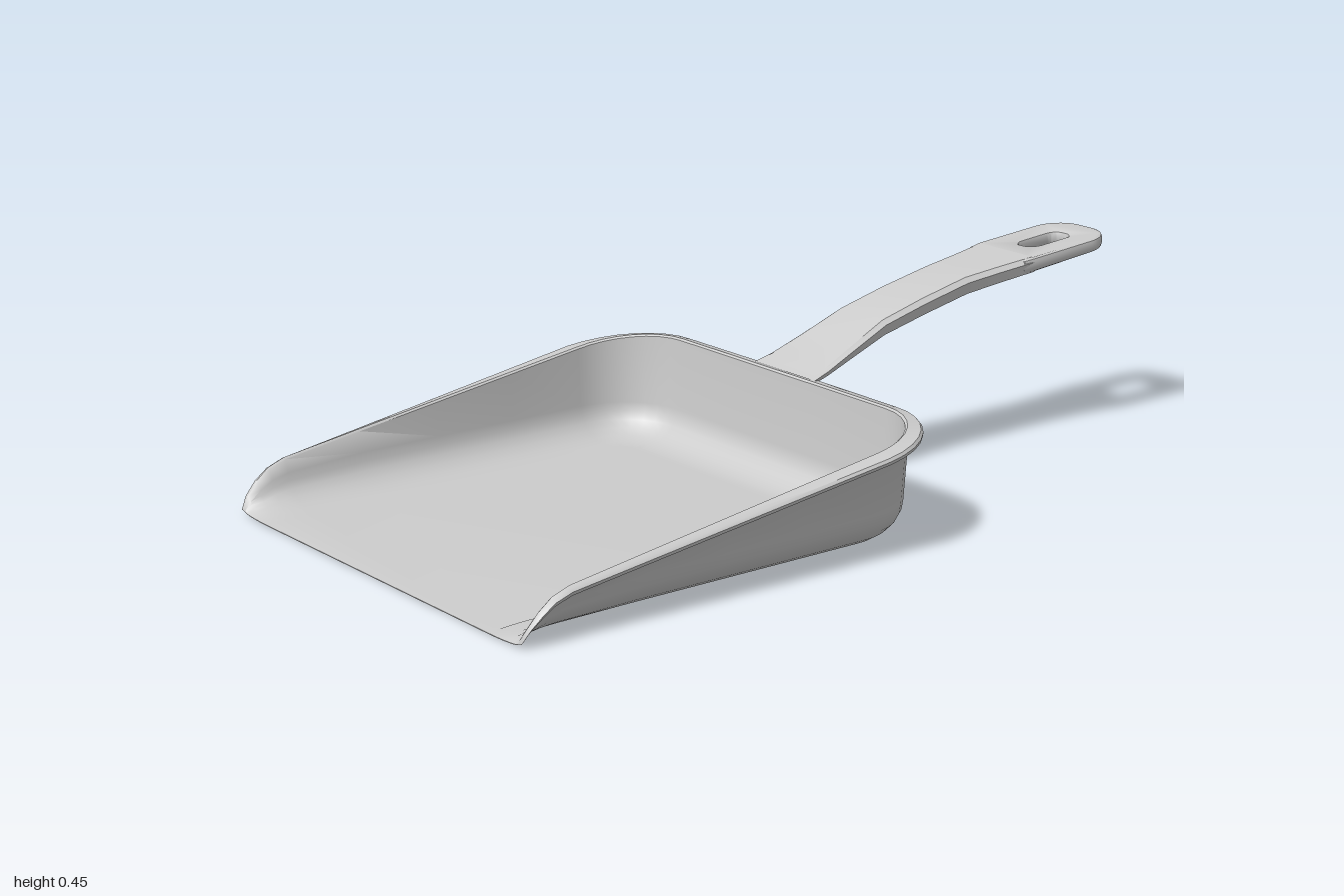
import * as THREE from 'three';
import { toCreasedNormals } from 'three/addons/utils/BufferGeometryUtils.js';

const material = new THREE.MeshStandardMaterial({ color: 0xcccccc, side: THREE.DoubleSide });

// Piecewise linear lookup in a list of [x, value]
function lookup(points, x) {
  if (x <= points[0][0]) return points[0][1];
  for (let i = 1; i < points.length; i++) {
    const [x0, v0] = points[i - 1], [x1, v1] = points[i];
    if (x <= x1) return v0 + (v1 - v0) * (x - x0) / (x1 - x0);
  }
  return points[points.length - 1][1];
}

function quad(index, a, b, c, d) {
  index.push(a, b, c, a, c, d);
}

function build(positions, index, crease) {
  const geo = new THREE.BufferGeometry();
  geo.setAttribute('position', new THREE.Float32BufferAttribute(positions, 3));
  geo.setIndex(index);
  return toCreasedNormals(geo, crease);
}

function addMesh(group, name, geo) {
  const mesh = new THREE.Mesh(geo, material);
  mesh.name = name;
  group.add(mesh);
}

// Rim height: rounded up at the open front, then a straight rise to the back
const RIM = [[-1, 0.012], [-0.985, 0.04], [-0.96, 0.068], [-0.93, 0.092], [-0.89, 0.107], [0.1, 0.255]];

// U-shaped plan of the wall: position, outward direction and lip width
function wallStations() {
  const half = [];
  for (const x of [-1, -0.985, -0.96, -0.93, -0.89, -0.7, -0.5, -0.3, -0.11]) {
    const lip = (0.015 + 0.03 * (x + 1) / 0.89) * Math.min(1, 0.2 + (x + 1) / 0.03);
    half.push({ x, z: 0.53, nx: 0, nz: 1, lip });
  }
  const r = 0.17;
  for (let i = 1; i <= 8; i++) {
    const a = i / 8 * Math.PI / 2, nx = Math.sin(a), nz = Math.cos(a);
    half.push({ x: -0.11 + r * nx, z: 0.36 + r * nz, nx, nz, lip: 0.045 - 0.013 * i / 8 });
  }
  half.push({ x: 0.06, z: 0.12, nx: 1, nz: 0, lip: 0.034 });
  const mirrored = half.map(s => ({ ...s, z: -s.z, nz: -s.nz })).reverse();
  return [...half, ...mirrored];
}

// Wall section from floor edge over the lip and back underneath: [outward, height]
function wallProfile(h, lip) {
  const k = Math.min(1, h / 0.1), t = 0.007 * k + 0.001, f = Math.min(0.085, h * 0.7);
  const inner = [], outer = [];
  for (let i = 0; i <= 6; i++) {
    const a = i / 6 * Math.PI / 2, s = Math.sin(a), c = 1 - Math.cos(a);
    inner.push([-0.11 + 0.1 * s, t + (f - t) * c]);
    outer.push([-0.11 + (0.1 + t) * s, f * c]);
  }
  inner.push([0, h - 0.004 * k], [0.005 * k, h], [lip - 0.005 * k, h - 0.004 * k], [lip, h - 0.01 * k]);
  outer.push([t, h - 0.018 * k], [0.006 * k + t, h - 0.011 * k],
    [lip - 0.006 * k, h - 0.014 * k], [lip - 0.001, h - 0.017 * k]);
  return [...inner, ...outer.reverse()];
}

function panGeometry() {
  const stations = wallStations(), positions = [], index = [];
  let n = 0;
  for (const s of stations) {
    const profile = wallProfile(lookup(RIM, s.x + s.nx * s.lip / 2), s.lip);
    n = profile.length;
    for (const [d, y] of profile) positions.push(s.x + s.nx * d, y, s.z + s.nz * d);
  }
  const last = stations.length - 1, id = (i, j) => i * n + j;
  for (let i = 0; i < last; i++) {
    for (let j = 0; j < n - 1; j++) quad(index, id(i, j), id(i, j + 1), id(i + 1, j + 1), id(i + 1, j));
  }
  // Floor, upper and lower face
  const ring = stations.map(s => new THREE.Vector2(s.x - s.nx * 0.11, -(s.z - s.nz * 0.11)));
  for (const [a, b, c] of THREE.ShapeUtils.triangulateShape(ring, [])) {
    index.push(id(a, 0), id(b, 0), id(c, 0));
    index.push(id(a, n - 1), id(c, n - 1), id(b, n - 1));
  }
  // Front edge and the ends of the side walls
  quad(index, id(last, 0), id(last, n - 1), id(0, n - 1), id(0, 0));
  for (let j = 0; j < n / 2 - 1; j++) {
    quad(index, id(0, j), id(0, n - 1 - j), id(0, n - 2 - j), id(0, j + 1));
    quad(index, id(last, j), id(last, j + 1), id(last, n - 2 - j), id(last, n - 1 - j));
  }
  return build(positions, index, 0.7);
}

// Handle outlines along x
const TOP = [[0.07, 0.252], [0.12, 0.268], [0.3, 0.345], [0.42, 0.376], [0.55, 0.404], [0.74, 0.428], [1, 0.45]];
const BOTTOM = [[0.07, 0.24], [0.12, 0.252], [0.3, 0.312], [0.42, 0.34], [0.55, 0.367], [0.74, 0.394], [1, 0.42]];
const WIDTH = [[0.07, 0.106], [0.1, 0.102], [0.2, 0.092], [0.3, 0.083], [0.55, 0.08], [0.64, 0.088], [0.74, 0.1]];

function gripGeometry() {
  const positions = [], index = [], n = 6;
  const xs = [0.07, 0.12, 0.2, 0.3, 0.42, 0.55, 0.64, 0.74];
  for (const x of xs) {
    const w = lookup(WIDTH, x), t = lookup(TOP, x), b = lookup(BOTTOM, x), e = (t - b) * 0.3;
    const section = [[-w + 0.012, t], [w - 0.012, t], [w, t - e], [w - 0.004, b], [-w + 0.004, b], [-w, t - e]];
    for (const [z, y] of section) positions.push(x, y, z);
  }
  for (let i = 0; i < xs.length - 1; i++) {
    for (let j = 0; j < n; j++) {
      const k = (j + 1) % n, a = i * n;
      quad(index, a + j, a + k, a + n + k, a + n + j);
    }
  }
  return build(positions, index, 0.5);
}

// Rounded handle end with a hanging slot, bent to the handle's height
function handleEndGeometry() {
  const shape = new THREE.Shape();
  shape.moveTo(0.71, -0.095);
  shape.lineTo(0.74, -0.1);
  shape.lineTo(0.92, -0.1);
  shape.absellipse(0.92, -0.02, 0.08, 0.08, -Math.PI / 2, 0, false);
  shape.absellipse(0.92, 0.02, 0.08, 0.08, 0, Math.PI / 2, false);
  shape.lineTo(0.74, 0.1);
  shape.lineTo(0.71, 0.095);
  shape.closePath();
  const slot = new THREE.Path();
  const r = 0.025, x0 = 0.795 + r, x1 = 0.925 - r, z = 0.03 - r;
  [[x0, z, 0.5], [x0, -z, 1], [x1, -z, 1.5], [x1, z, 2]].forEach(([cx, cz, a]) =>
    slot.absarc(cx, cz, r, a * Math.PI, (a + 0.5) * Math.PI, false));
  slot.closePath();
  shape.holes.push(slot);
  const geo = new THREE.ExtrudeGeometry(shape, {
    depth: 0.4, bevelThickness: 0.3, bevelSize: 0.008, bevelOffset: -0.008, bevelSegments: 2, curveSegments: 6,
  });
  geo.rotateX(-Math.PI / 2);
  const p = geo.attributes.position;
  for (let i = 0; i < p.count; i++) {
    const b = lookup(BOTTOM, p.getX(i)), t = lookup(TOP, p.getX(i));
    p.setY(i, b + (t - b) * (p.getY(i) + 0.3));
  }
  return toCreasedNormals(geo, 0.6);
}

export function createModel() {
  const group = new THREE.Group();
  group.name = 'dustpan';
  addMesh(group, 'pan', panGeometry());
  const handle = new THREE.Group();
  handle.name = 'handle';
  addMesh(handle, 'grip', gripGeometry());
  addMesh(handle, 'handleEnd', handleEndGeometry());
  group.add(handle);
  return group;
}
